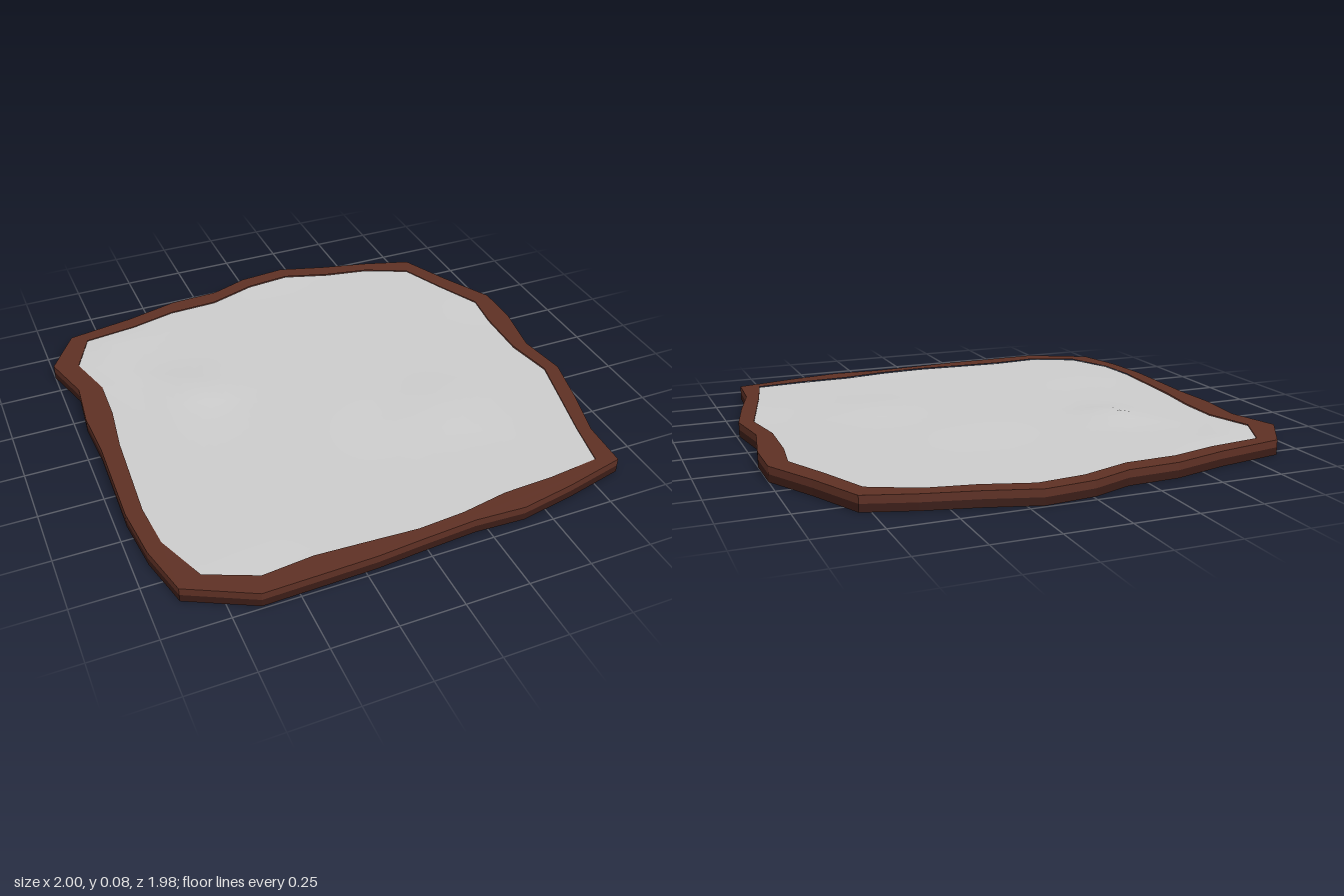
import * as THREE from 'three';

// Outer edge and inner lip of the irregular tray, as matching [x, z] pairs
const OUTER = [
  [-0.88, -0.79], [-0.6, -0.84], [-0.38, -0.9], [-0.17, -0.91], [-0.01, -0.97], [0.19, -0.99], [0.39, -0.93], [0.6, -0.88],
  [0.79, -0.82], [0.89, -0.6], [1, -0.39], [1, -0.2], [0.96, 0.03], [0.99, 0.24], [0.94, 0.45], [0.88, 0.66],
  [0.87, 0.86], [0.62, 0.92], [0.4, 0.96], [0.2, 0.95], [-0.02, 0.965], [-0.2, 0.98], [-0.4, 0.985], [-0.64, 0.99],
  [-0.89, 0.86], [-0.94, 0.65], [-0.96, 0.43], [-0.95, 0.03], [-0.96, -0.18], [-0.94, -0.39], [-1, -0.6],
];
const INNER = [
  [-0.82, -0.74], [-0.6, -0.77], [-0.41, -0.82], [-0.2, -0.83], [0, -0.9], [0.19, -0.92], [0.38, -0.86], [0.57, -0.825],
  [0.75, -0.74], [0.83, -0.55], [0.92, -0.36], [0.9, -0.2], [0.895, 0.03], [0.93, 0.23], [0.88, 0.43], [0.83, 0.63],
  [0.79, 0.825], [0.58, 0.85], [0.37, 0.86], [0.18, 0.895], [-0.01, 0.91], [-0.2, 0.9], [-0.41, 0.89], [-0.61, 0.91],
  [-0.8, 0.825], [-0.88, 0.62], [-0.895, 0.43], [-0.875, 0.03], [-0.85, -0.18], [-0.845, -0.37], [-0.9, -0.565],
];
const MID = 0.03, TOP = 0.06;

// Low mounds on the filling: [x, z, radius, height]
const MOUNDS = [[-0.49, -0.2, 0.2, 0.024], [0.43, 0.28, 0.25, 0.012], [-0.72, -0.68, 0.12, 0.009]];

const toPoints = (list) => list.map(([x, z]) => new THREE.Vector2(x, -z));

// Vertical slab of an outline, between two heights
function slab(name, outline, hole, y0, y1, color) {
  const shape = new THREE.Shape(toPoints(outline));
  if (hole) shape.holes.push(new THREE.Path(toPoints(hole)));
  const geo = new THREE.ExtrudeGeometry(shape, { depth: y1 - y0, bevelEnabled: false });
  geo.rotateX(-Math.PI / 2).translate(0, y0, 0);
  const mesh = new THREE.Mesh(geo, new THREE.MeshStandardMaterial({ color, flatShading: true }));
  mesh.name = name;
  return mesh;
}

function surfaceHeight(x, z) {
  let y = 0.056 + 0.002 * Math.sin(4 * x + 1) * Math.cos(5 * z);
  for (const [mx, mz, r, h] of MOUNDS) {
    y += h * Math.max(0, 1 - Math.hypot(x - mx, z - mz) / r);
  }
  return y;
}

// Gently uneven sheet: concentric copies of the inner lip around the centre
function fillingGeometry(rings = 20) {
  const n = INNER.length;
  const pos = [0, surfaceHeight(0, 0), 0];
  const index = [];
  for (let r = 1; r <= rings; r++) {
    for (const [px, pz] of INNER) {
      const x = px * r / rings, z = pz * r / rings;
      pos.push(x, surfaceHeight(x, z), z);
    }
  }
  for (let i = 0; i < n; i++) {
    const j = (i + 1) % n;
    index.push(0, 1 + j, 1 + i);
    for (let r = 0; r < rings - 1; r++) {
      const a = 1 + r * n + i, b = 1 + r * n + j;
      index.push(a, b, b + n, a, b + n, a + n);
    }
  }
  const geo = new THREE.BufferGeometry();
  geo.setAttribute('position', new THREE.Float32BufferAttribute(pos, 3));
  geo.setIndex(index);
  geo.computeVertexNormals();
  return geo;
}

export function createModel() {
  const group = new THREE.Group();
  group.name = 'irregularTray';

  // Dark base and the raised rim on it
  group.add(slab('base', OUTER, null, 0, MID, 0x3a1c16));
  group.add(slab('rim', OUTER, INNER, MID, TOP, 0x5e3024));

  // Grey filling inside the rim
  const filling = new THREE.Mesh(fillingGeometry(), new THREE.MeshStandardMaterial({ color: 0xcccccc, side: THREE.DoubleSide }));
  filling.name = 'filling';
  group.add(filling);
  return group;
}
